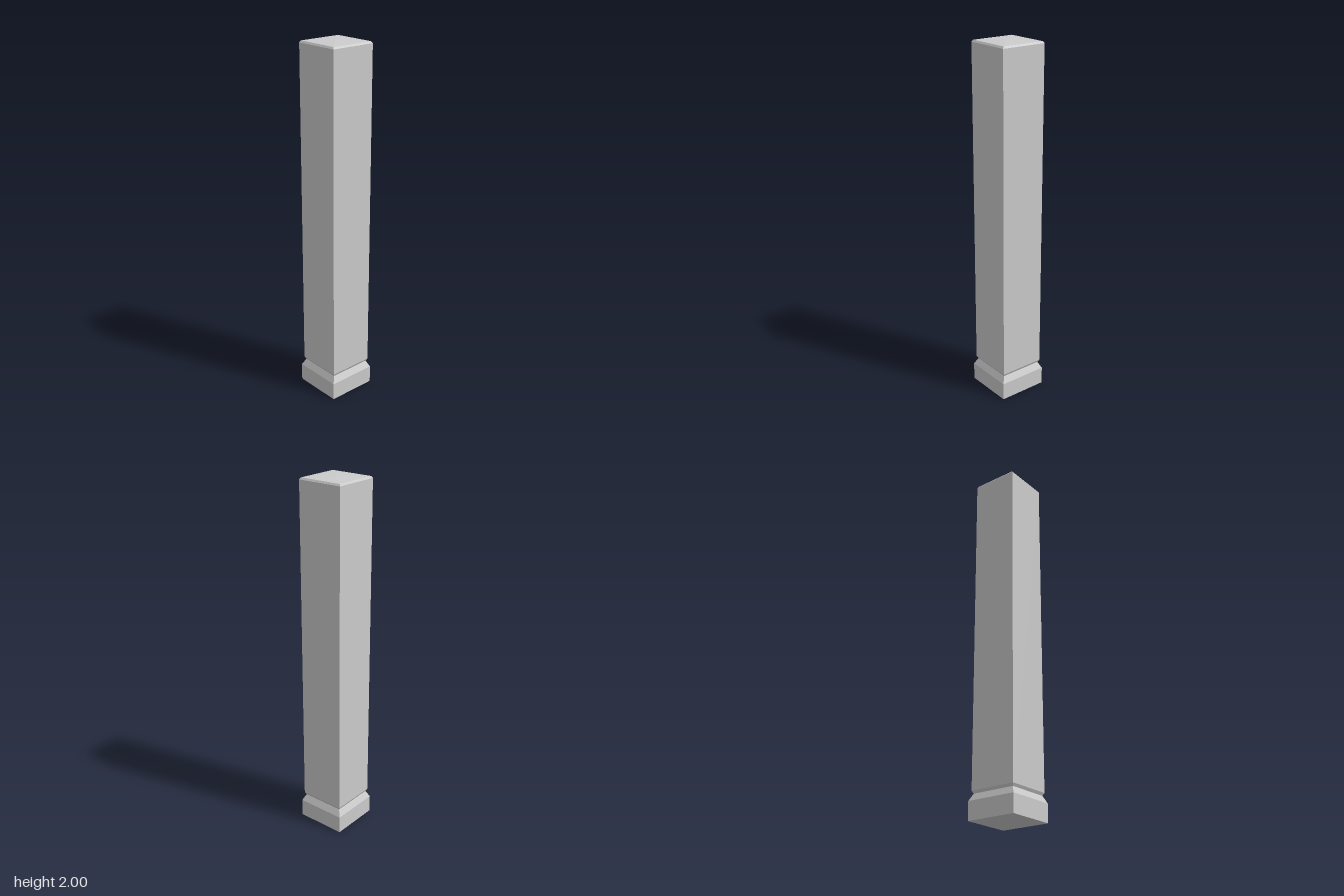
import * as THREE from 'three';
import { mergeGeometries } from 'three/addons/utils/BufferGeometryUtils.js';

const material = new THREE.MeshStandardMaterial({ color: 0xcccccc, flatShading: true });

// Stacks square frustums along a profile of [half width, height] points, bottom to top.
function squareStack(name, profile) {
  const tiers = [];
  for (let i = 1; i < profile.length; i++) {
    const [w0, y0] = profile[i - 1];
    const [w1, y1] = profile[i];
    const tier = new THREE.CylinderGeometry(
      w1 * Math.SQRT2, w0 * Math.SQRT2, y1 - y0, 4, 1, true, Math.PI / 4);
    tier.translate(0, (y0 + y1) / 2, 0);
    tiers.push(tier.toNonIndexed());
  }
  const geometry = mergeGeometries(tiers);
  geometry.computeVertexNormals();
  const mesh = new THREE.Mesh(geometry, material);
  mesh.name = name;
  return mesh;
}

export function createModel() {
  const pillar = new THREE.Group();
  pillar.name = 'pillar';

  // Square foot with a sloped upper edge
  pillar.add(squareStack('plinth', [[0, 0], [0.142, 0], [0.142, 0.1], [0.123, 0.138]]));

  // Tall shaft, chamfered at both ends, with a very shallow pyramid on top
  pillar.add(squareStack('shaft', [
    [0.123, 0.138], [0.131, 0.153], [0.131, 1.985], [0.124, 1.995], [0, 2],
  ]));

  return pillar;
}
